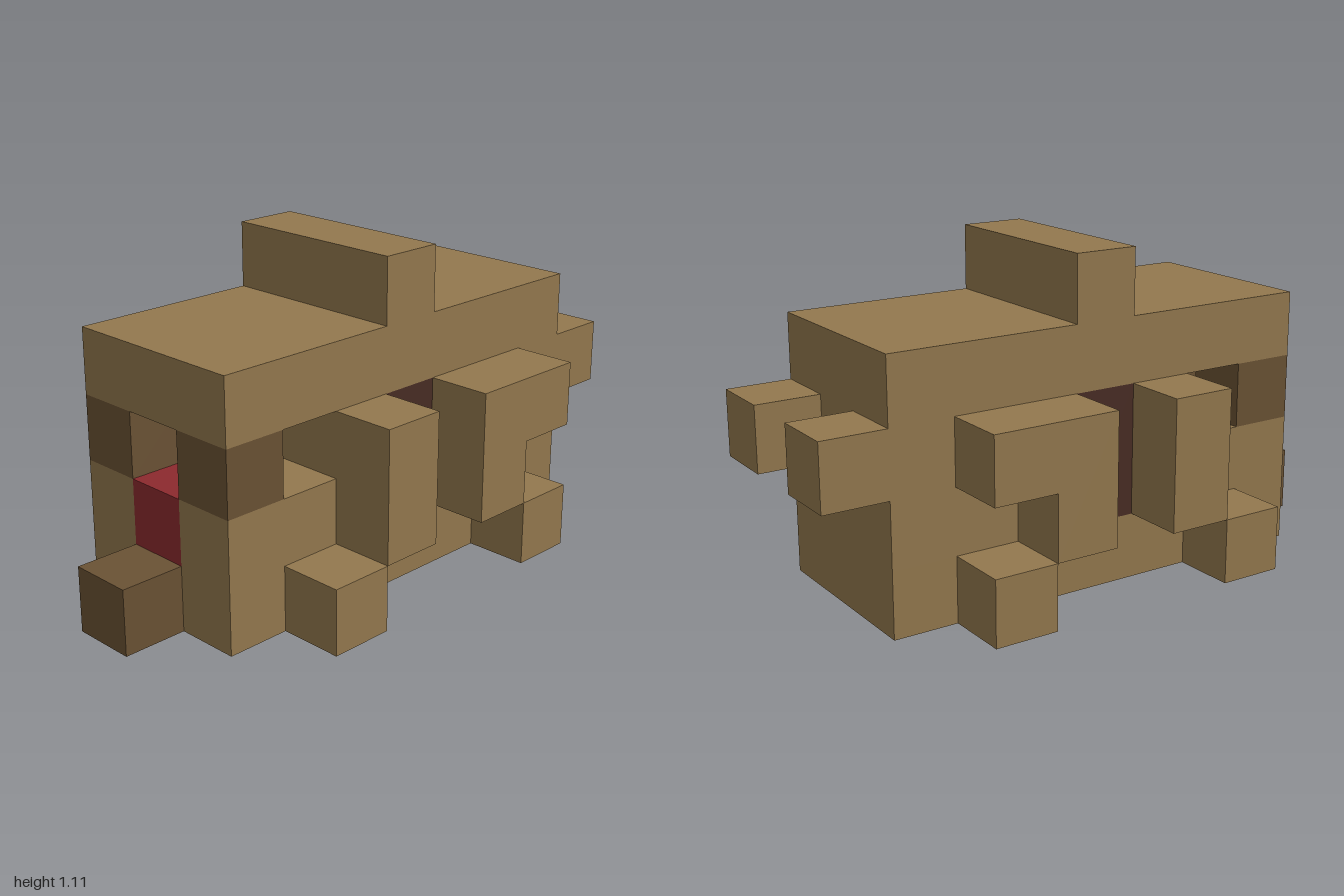
import * as THREE from 'three';

const U = 2 / 9; // one block

export function createModel() {
  const model = new THREE.Group();
  model.name = 'blockCreature';

  const mat = (name, color) => {
    const m = new THREE.MeshStandardMaterial({ color });
    m.name = name;
    return m;
  };
  const tan = mat('tan', 0x93784e);
  const brown = mat('dark brown', 0x6a5234);
  const maroon = mat('dark maroon', 0x482c24);
  const red = mat('red', 0x8c2a2e);

  // Box covering whole blocks, given as inclusive index ranges [from, to]
  function block(name, material, [x0, x1], [y0, y1], [z0, z1]) {
    const geo = new THREE.BoxGeometry((x1 - x0 + 1) * U, (y1 - y0 + 1) * U, (z1 - z0 + 1) * U);
    const mesh = new THREE.Mesh(geo, material);
    mesh.name = name;
    mesh.position.set(((x0 + x1) / 2) * U, ((y0 + y1 + 1) / 2) * U, ((z0 + z1) / 2) * U);
    model.add(mesh);
  }

  // Body, with a gap behind the head corners
  block('base', tan, [-3, 3], [0, 0], [-1, 1]);
  block('rearBody', tan, [1, 3], [1, 2], [-1, 1]);
  block('frontBody', tan, [-1, -1], [1, 2], [-1, 1]);
  block('gapFloor', tan, [-2, -2], [1, 1], [-1, 1]);
  block('back', tan, [-3, 3], [3, 3], [-1, 1]);
  block('ridge', tan, [0, 0], [4, 4], [-1, 1]);
  block('sideSlot', maroon, [0, 0], [1, 2], [-1, 1]);

  // Face end
  block('mouth', red, [-3, -3], [1, 1], [0, 0]);
  block('jaw', brown, [-4, -4], [0, 0], [0, 0]);

  // Parts mirrored across the long axis
  for (const s of [-1, 1]) {
    const side = s > 0 ? 'Front' : 'Back';
    const inner = [s, s], outer = [2 * s, 2 * s];
    block('cheek' + side, tan, [-3, -3], [1, 1], inner);
    block('eyeBlock' + side, brown, [-3, -3], [2, 2], inner);
    block('tailStub' + side, tan, [4, 4], [2, 2], inner);
    block('foreShoulder' + side, tan, [-1, -1], [1, 2], outer);
    block('foreFoot' + side, tan, [-2, -2], [0, 0], outer);
    block('hindShoulder' + side, tan, [1, 1], [1, 2], outer);
    block('hindPlate' + side, tan, [2, 2], [2, 2], outer);
    block('hindFoot' + side, tan, [2, 2], [0, 0], outer);
  }
  return model;
}
